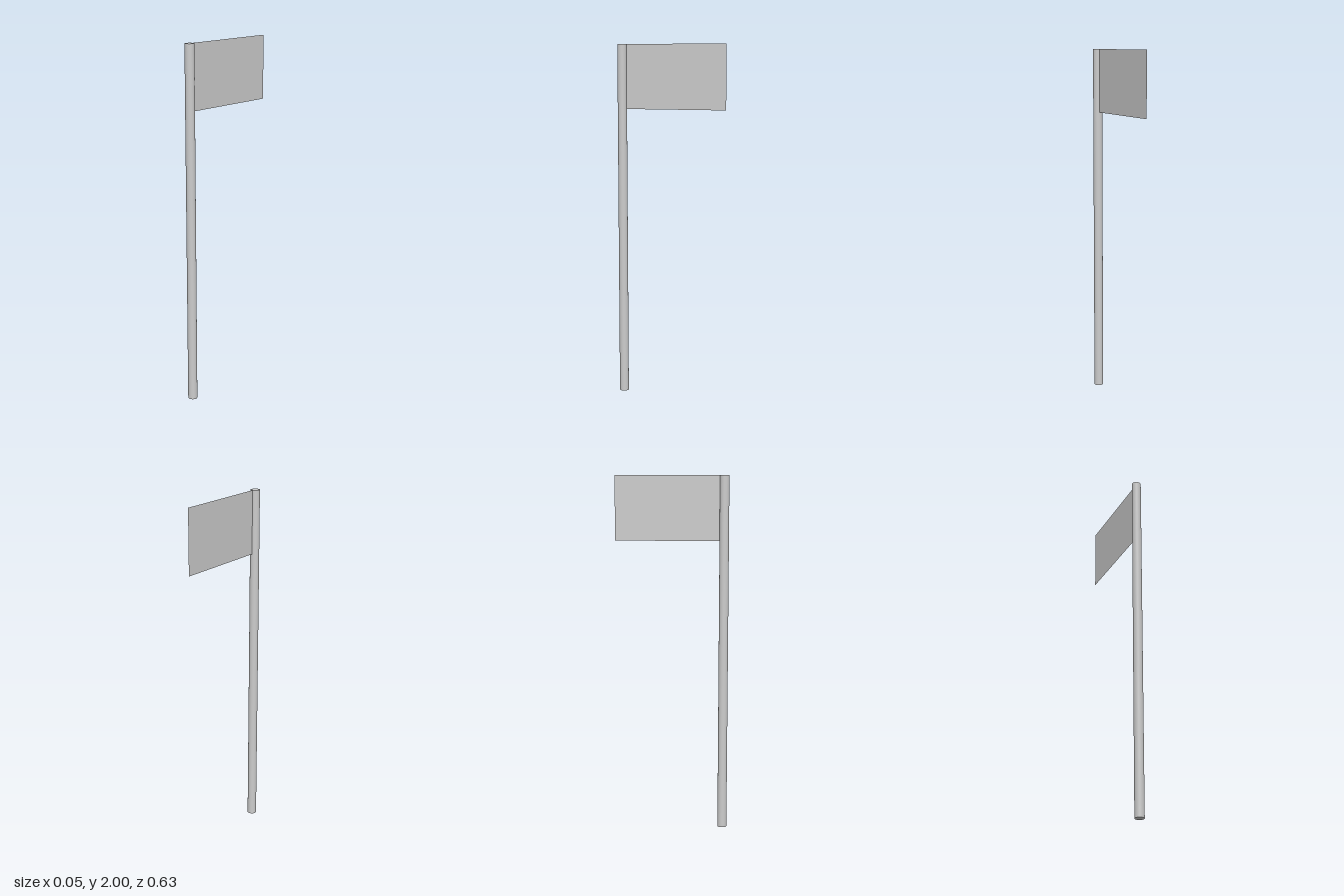
import * as THREE from 'three';

export function createModel() {
  const group = new THREE.Group();
  const radius = 0.026, poleZ = 0.29;
  const top = 2, flagBottom = 1.64, flagEnd = -0.316;

  // Upright round pole with closed ends
  const pole = new THREE.Mesh(
    new THREE.CylinderGeometry(radius, radius, top, 32),
    new THREE.MeshStandardMaterial({ color: 0xcccccc })
  );
  pole.name = 'pole';
  pole.position.set(0, top / 2, poleZ);
  group.add(pole);

  // Flat flag sheet running backwards from the pole
  const flagStart = poleZ - radius;
  const flag = new THREE.Mesh(
    new THREE.PlaneGeometry(flagStart - flagEnd, top - flagBottom),
    new THREE.MeshStandardMaterial({ color: 0xcccccc, side: THREE.DoubleSide })
  );
  flag.name = 'flag';
  flag.rotation.y = Math.PI / 2;
  flag.position.set(0, (top + flagBottom) / 2, (flagStart + flagEnd) / 2);
  group.add(flag);

  return group;
}
